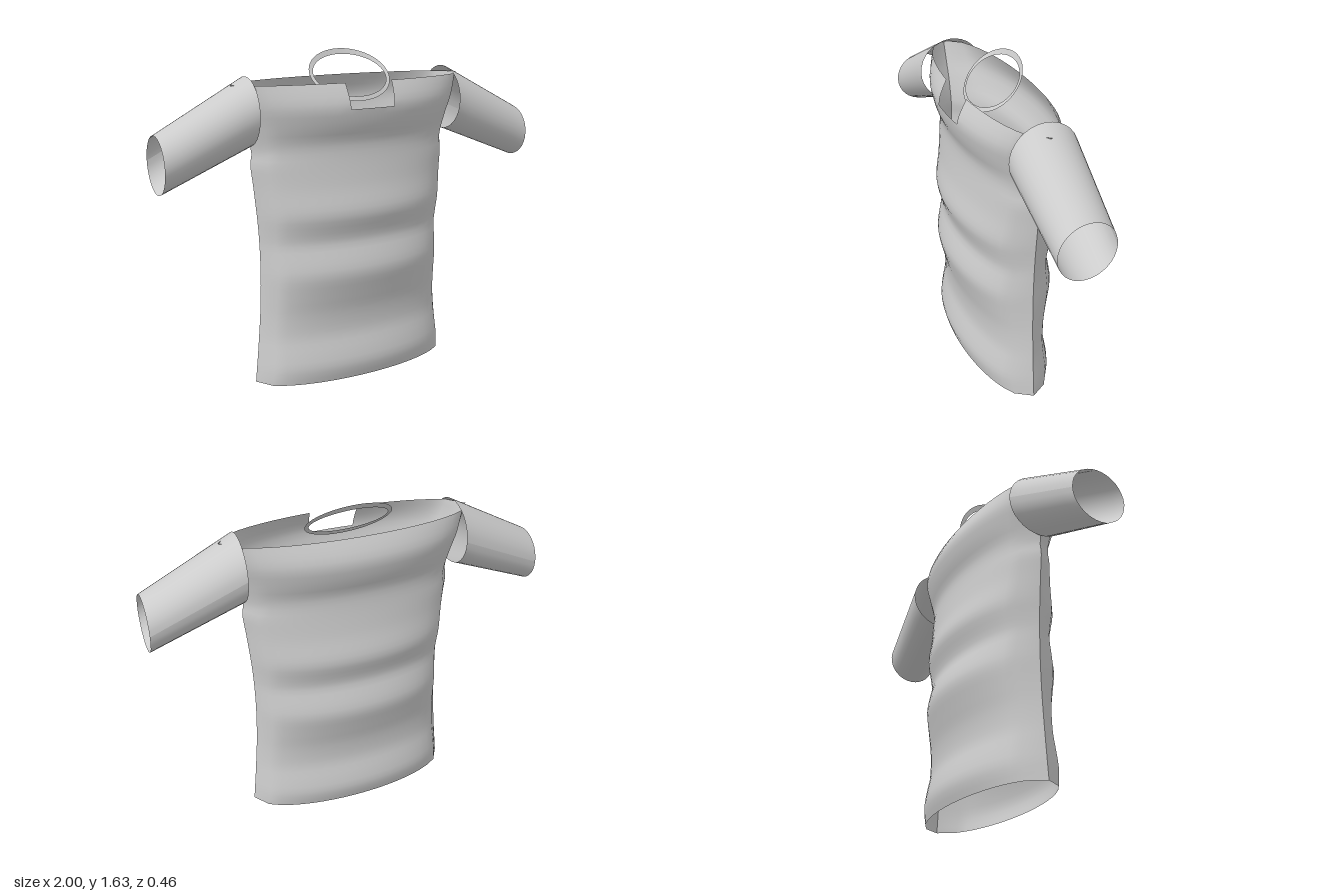
import * as THREE from 'three';

const cloth = new THREE.MeshStandardMaterial({ color: 0xcccccc, side: THREE.DoubleSide });

// Smooth lookup through [height, value] pairs
function profile(points) {
  const curve = new THREE.SplineCurve(points.map(([y, v]) => new THREE.Vector2(y, v)));
  const samples = curve.getPoints(400);
  return (y) => {
    const i = Math.max(1, samples.findIndex((p) => p.x >= y - 1e-6));
    const a = samples[i - 1], b = samples[i];
    return a.y + ((b.y - a.y) * (y - a.x)) / (b.x - a.x);
  };
}

// Grid surface from at(i, j); skip(i, j) leaves a cell open
function sheet(name, cols, rows, at, skip = () => false) {
  const positions = [], index = [];
  for (let j = 0; j <= rows; j++)
    for (let i = 0; i <= cols; i++) positions.push(...at(i, j));
  for (let j = 0; j < rows; j++)
    for (let i = 0; i < cols; i++) {
      if (skip(i, j)) continue;
      const a = j * (cols + 1) + i, b = a + 1, c = a + cols + 1, d = c + 1;
      index.push(a, b, d, a, d, c);
    }
  const geometry = new THREE.BufferGeometry();
  geometry.setAttribute('position', new THREE.Float32BufferAttribute(positions, 3));
  geometry.setIndex(index);
  geometry.computeVertexNormals();
  const mesh = new THREE.Mesh(geometry, cloth);
  mesh.name = name;
  return mesh;
}

const halfWidth = profile([[0, 0.548], [0.2, 0.528], [0.4, 0.512], [0.6, 0.506], [0.8, 0.512],
  [1, 0.53], [1.12, 0.543], [1.17, 0.535], [1.3, 0.56], [1.4, 0.595], [1.5, 0.63]]);

// Rippling depth of the body
const depth = profile([[0, 0.193], [0.08, 0.213], [0.16, 0.2], [0.25, 0.178], [0.36, 0.182],
  [0.46, 0.205], [0.57, 0.23], [0.65, 0.215], [0.73, 0.192], [0.8, 0.207], [0.88, 0.225],
  [1.02, 0.195], [1.2, 0.176], [1.29, 0.205], [1.38, 0.225], [1.44, 0.21], [1.5, 0.18]]);

export function createModel() {
  const group = new THREE.Group();
  group.name = 'shirt';

  // Front and back of the body, with a square neck notch in the front
  const cols = 20, rows = 50;
  for (const side of [1, -1]) {
    group.add(sheet(side > 0 ? 'bodyFront' : 'bodyBack', cols, rows,
      (i, j) => {
        const y = (1.5 * j) / rows;
        const u = (i / cols) * 2 - 1;
        const round = Math.sqrt(Math.max(0, 1 - u * u));
        return [side * u * halfWidth(y), y, side * round * depth(y) - 0.003];
      },
      (i, j) => side > 0 && j >= 46 && i >= 8 && i < 12));
  }

  // Tapered open sleeves
  for (const side of [1, -1]) {
    group.add(sheet(side > 0 ? 'leftSleeve' : 'rightSleeve', 32, 6, (i, j) => {
      const t = j / 6, a = (side * i * Math.PI * 2) / 32;
      const ry = THREE.MathUtils.lerp(0.163, 0.135, t);
      const rz = THREE.MathUtils.lerp(0.167, 0.137, t);
      return [
        side * THREE.MathUtils.lerp(0.55, 1, t),
        THREE.MathUtils.lerp(1.372, 1.165, t) + ry * Math.sin(a),
        THREE.MathUtils.lerp(-0.012, 0.01, t) - rz * Math.cos(a),
      ];
    }));
  }

  // Thin collar band, tilted up towards the back
  group.add(sheet('collar', 48, 1, (i, j) => {
    const a = (i * Math.PI * 2) / 48, c = Math.cos(a);
    return j === 0
      ? [0.218 * Math.sin(a), 1.517 + 0.117 * c, -0.009 - 0.118 * c]
      : [0.197 * Math.sin(a), 1.514 + 0.093 * c, -0.008 - 0.107 * c];
  }));

  return group;
}
